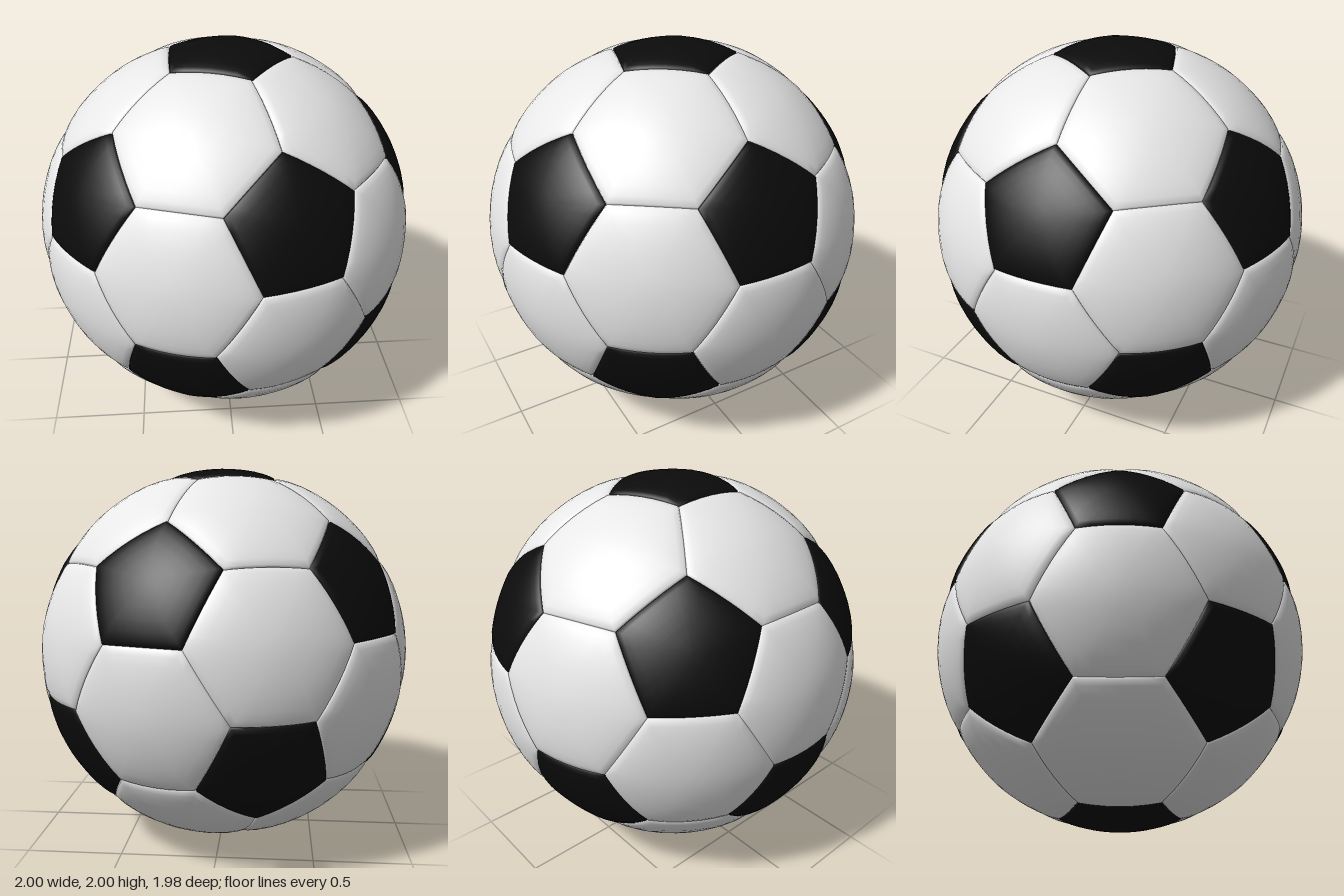
import * as THREE from 'three';

const SEGMENTS = 6; // subdivisions along each panel edge
// [fraction from panel centre to seam, radius]: gently puffed panel, rim rolled into the seam
const RINGS = [[0.2, 1], [0.4, 0.999], [0.6, 0.998], [0.78, 0.995], [0.9, 0.991], [0.98, 0.986], [1, 0.975]];

// Corners sorted counter-clockwise as seen from outside
function sortAround(corners, centre) {
  const u = corners[0].clone().projectOnPlane(centre).normalize();
  const w = centre.clone().cross(u);
  const angle = (p) => Math.atan2(p.dot(w), p.dot(u));
  return [...corners].sort((a, b) => angle(a) - angle(b));
}

// One domed panel spanning the given polygon on the ball
function panelGeometry(corners) {
  const centre = corners.reduce((s, p) => s.add(p), new THREE.Vector3()).normalize();
  const loop = sortAround(corners, centre);
  const rim = [];
  loop.forEach((p, i) => {
    const q = loop[(i + 1) % loop.length];
    for (let s = 0; s < SEGMENTS; s++) rim.push(p.clone().lerp(q, s / SEGMENTS).normalize());
  });
  const positions = [...centre.toArray()];
  const index = [];
  const n = rim.length;
  RINGS.forEach(([t, radius], r) => {
    rim.forEach((p, i) => {
      positions.push(...centre.clone().lerp(p, t).setLength(radius).toArray());
      const j = (i + 1) % n;
      const a = 1 + r * n + i, b = 1 + r * n + j;
      if (r === 0) index.push(0, a, b);
      else index.push(a - n, a, b, a - n, b, b - n);
    });
  });
  const geometry = new THREE.BufferGeometry();
  geometry.setAttribute('position', new THREE.Float32BufferAttribute(positions, 3));
  geometry.setIndex(index);
  geometry.computeVertexNormals();
  return geometry;
}

export function createModel() {
  const white = new THREE.MeshStandardMaterial({ color: 0xe7e7e7 });
  white.name = 'white leather';
  const black = new THREE.MeshStandardMaterial({ color: 0x0b0b0b });
  black.name = 'black leather';

  const ball = new THREE.Group();
  ball.name = 'ball';
  ball.position.y = 1;

  // Icosahedron points: the centres of the twelve black panels
  const points = [new THREE.Vector3(0, 1, 0), new THREE.Vector3(0, -1, 0)];
  const h = 1 / Math.sqrt(5);
  for (let k = 0; k < 10; k++) {
    const a = (k * Math.PI) / 5;
    points.push(new THREE.Vector3(2 * h * Math.cos(a), k % 2 ? -h : h, 2 * h * Math.sin(a)));
  }
  const adjacent = (a, b) => a !== b && a.distanceTo(b) < 1.2;
  const third = (a, b) => a.clone().lerp(b, 1 / 3);

  const addPanel = (name, corners, material) => {
    const mesh = new THREE.Mesh(panelGeometry(corners), material);
    mesh.name = name;
    ball.add(mesh);
  };

  // Black pentagons
  points.forEach((p) => {
    addPanel('pentagonPanel', points.filter((q) => adjacent(p, q)).map((q) => third(p, q)), black);
  });

  // White hexagons, one for each triangle of neighbouring pentagons
  points.forEach((a, i) => points.forEach((b, j) => points.forEach((c, k) => {
    if (i < j && j < k && adjacent(a, b) && adjacent(b, c) && adjacent(a, c)) {
      addPanel('hexagonPanel',
        [third(a, b), third(b, a), third(b, c), third(c, b), third(c, a), third(a, c)], white);
    }
  })));

  const model = new THREE.Group();
  model.name = 'football';
  model.add(ball);
  return model;
}
